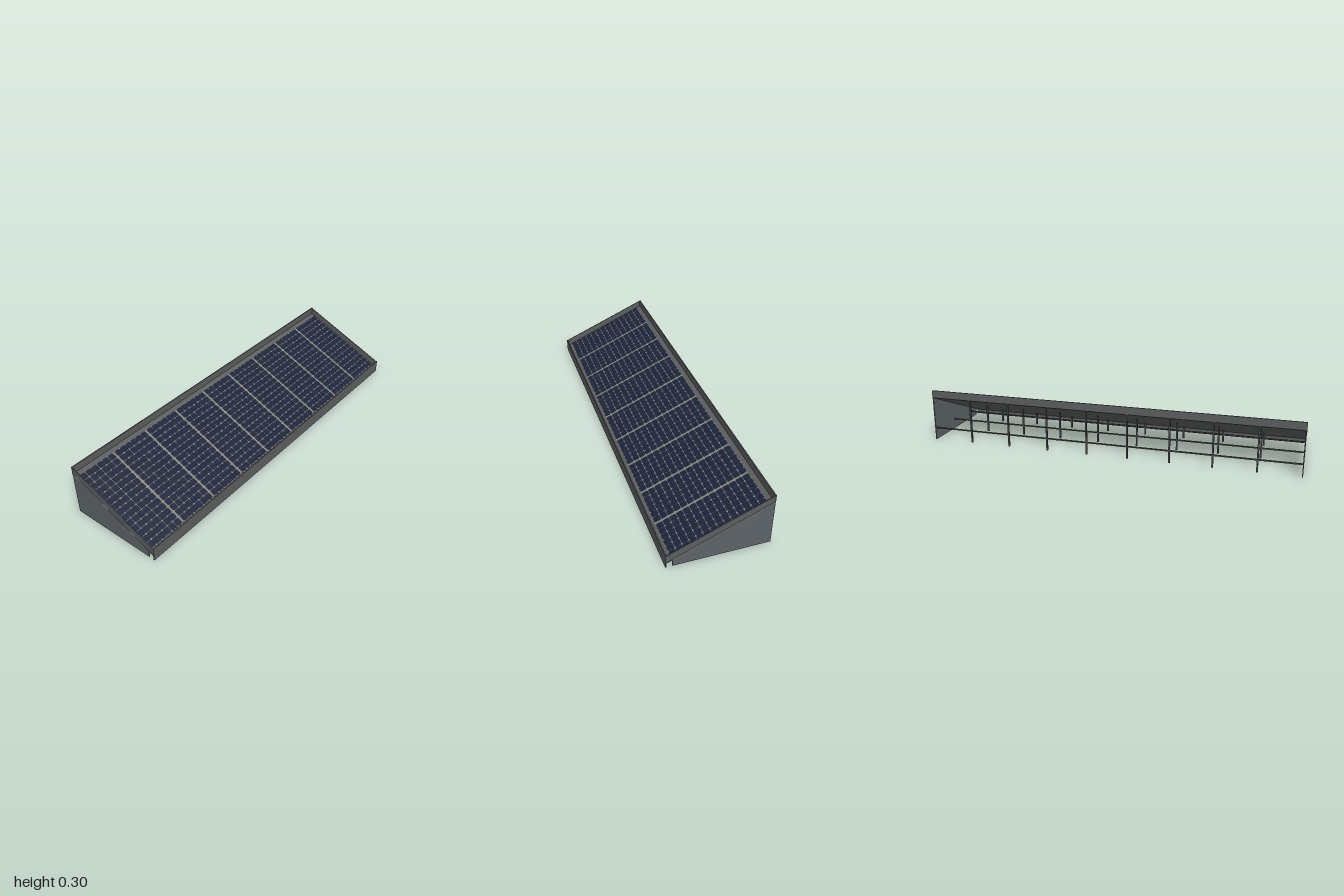
import * as THREE from 'three';
import { mergeGeometries } from 'three/addons/utils/BufferGeometryUtils.js';

const mat = (name, color) => {
  const m = new THREE.MeshStandardMaterial({ color });
  m.name = name;
  return m;
};

const HALF = 1.06;      // half length of the array
const W = 0.27;         // half depth of the array
const HIGH = 0.262;     // tray floor at the high edge
const LOW = 0.03;       // tray floor at the low edge
const floorAt = (w) => HIGH + (w + W) * (LOW - HIGH) / (2 * W);

// Extrudes a (depth, height) section along the length from u0 to u1
function prism(points, u0, u1) {
  const shape = new THREE.Shape(points.map(([w, y]) => new THREE.Vector2(w, y)));
  return new THREE.ExtrudeGeometry(shape, { depth: u1 - u0, bevelEnabled: false })
    .rotateY(-Math.PI / 2)
    .translate(u1, 0, 0);
}

// Flat cell with clipped corners
function cellGeometry(w, d, c) {
  const x = w / 2, y = d / 2;
  const pts = [[x - c, -y], [x, -y + c], [x, y - c], [x - c, y], [-x + c, y], [-x, y - c], [-x, -y + c], [-x + c, -y]];
  const shape = new THREE.Shape(pts.map((p) => new THREE.Vector2(p[0], p[1])));
  return new THREE.ShapeGeometry(shape).rotateX(-Math.PI / 2);
}

export function createModel() {
  const frame = mat('frame grey', 0x5c5e5f);
  const wall = mat('wall grey', 0x5c6366);
  const backing = mat('pale backing', 0x85847c);
  const navy = mat('cell navy', 0x1d2439);
  const steel = mat('leg steel', 0x4a4c4e);

  const model = new THREE.Group();
  model.name = 'solarArray';
  const array = new THREE.Group();
  array.name = 'array';
  array.rotation.y = 0.899;
  model.add(array);
  const add = (name, geometry, material, parent = array) => {
    const mesh = new THREE.Mesh(geometry, material);
    mesh.name = name;
    parent.add(mesh);
    return mesh;
  };

  // Sloped tray with a rim along the back and a skirt along the front
  add('trayFloor', prism([[-W, HIGH - 0.006], [W, LOW - 0.006], [W, LOW], [-W, HIGH]], -HALF, HALF), frame);
  add('backRim', prism([[-W, 0.256], [-W + 0.006, 0.256], [-W + 0.006, 0.3], [-W, 0.3]], -HALF, HALF), frame);
  add('frontSkirt', prism([[W - 0.006, 0], [W, 0], [W, 0.075], [W - 0.006, 0.075]], -HALF, HALF), frame);

  // End walls, side rims and the pale seam between them
  const end = 0.235;
  for (const side of [-1, 1]) {
    const slab = (points, inner, outer) =>
      side > 0 ? prism(points, inner, outer) : prism(points, -outer, -inner);
    add('endWall', slab([[-W, 0], [end, 0], [end, floorAt(end)], [-W, HIGH]], HALF - 0.006, HALF - 0.001), wall);
    add('sideRim', slab([[-W, HIGH], [W, LOW], [W, 0.072], [-W, 0.3]], HALF - 0.006, HALF - 0.001), frame);
    add('seam', slab([[-W, HIGH - 0.006], [end, floorAt(end) - 0.006], [end, floorAt(end)], [-W, HIGH]],
      HALF - 0.003, HALF + 0.0005), backing);
  }

  // Solar sheet lying on the tray
  const sheet = new THREE.Group();
  sheet.name = 'solarSheet';
  sheet.position.set(0, (HIGH + LOW) / 2 + 0.002, 0);
  sheet.rotation.x = Math.atan2(HIGH - LOW, 2 * W);
  array.add(sheet);
  const length = 2.104, depth = 0.52;
  add('backingSheet', new THREE.BoxGeometry(length, 0.002, depth), backing, sheet);

  // Nine panels of cells, the backing showing between them
  const panels = 9, cols = 6, rows = 14;
  const pitch = length / panels;
  const cw = (pitch - 0.011) / cols, cd = depth / rows;
  const cell = cellGeometry(cw - 0.0005, cd - 0.002, 0.005);
  for (let p = 0; p < panels; p++) {
    const centre = (p - (panels - 1) / 2) * pitch;
    const cells = [];
    for (let i = 0; i < cols; i++) {
      for (let j = 0; j < rows; j++) {
        cells.push(cell.clone().translate((i - (cols - 1) / 2) * cw, 0.003, (j - (rows - 1) / 2) * cd));
      }
    }
    add('panelCells', mergeGeometries(cells), navy, sheet).position.x = centre;
  }

  // Three rows of thin legs, each row tied by a long rail
  for (const [w, railY] of [[-0.26, 0.07], [-0.05, 0.058], [0.155, 0.045]]) {
    const top = floorAt(w) - 0.004;
    for (let i = 1; i < panels; i++) {
      add('leg', new THREE.BoxGeometry(0.009, top, 0.009), steel)
        .position.set(-HALF + (2 * HALF * i) / panels, top / 2, w);
    }
    add('rail', new THREE.BoxGeometry(2 * HALF - 0.012, 0.007, 0.007), steel).position.set(0, railY, w);
  }

  return model;
}
